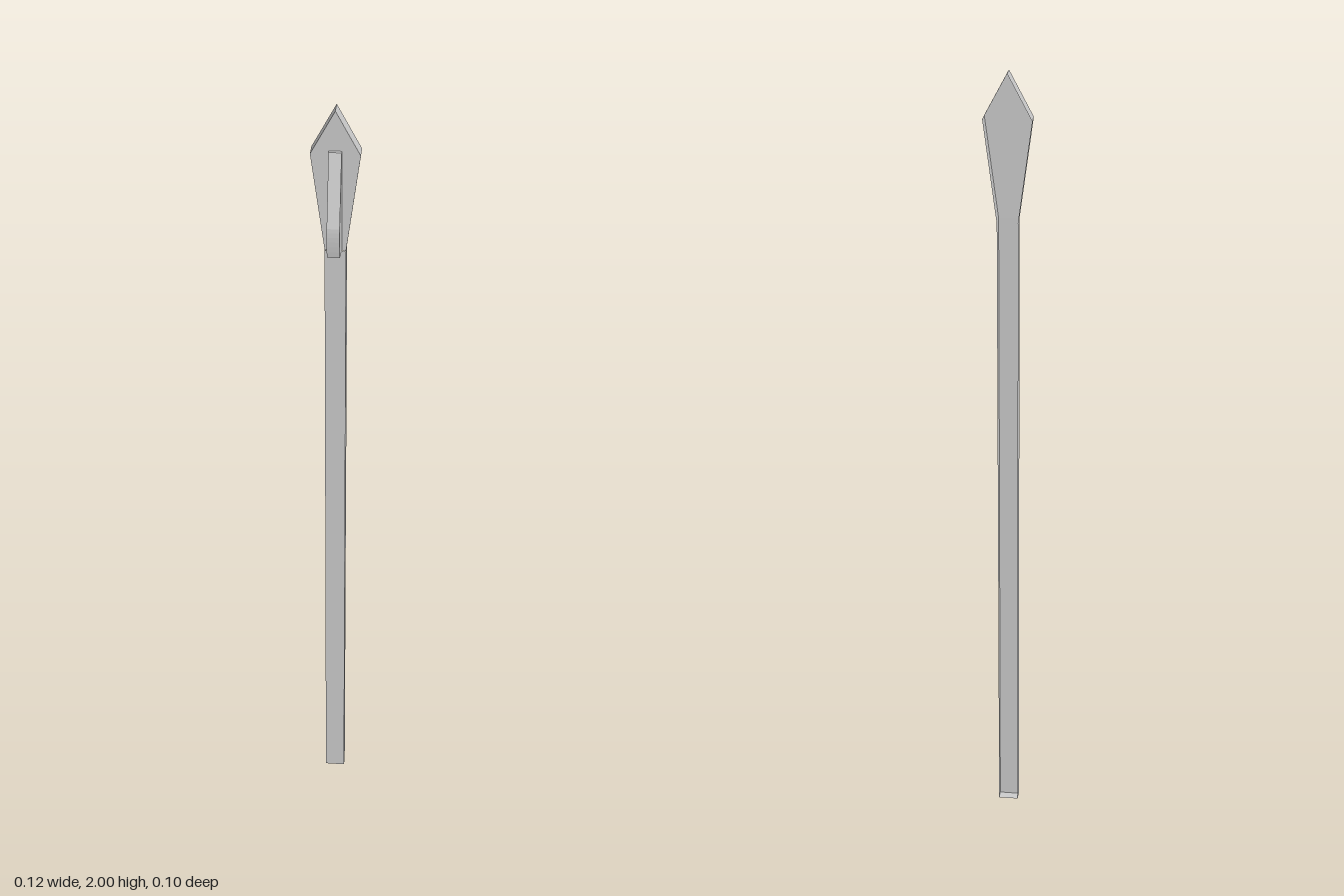
import * as THREE from 'three';

const material = new THREE.MeshStandardMaterial({
  color: 0xcccccc, flatShading: true, side: THREE.DoubleSide,
});

// Open-backed shell: a convex front face with walls folded back.
// Corners run counter-clockwise as [x, y, zFront, zBack]; openEdges get no wall.
function shell(name, corners, openEdges = []) {
  const pos = [];
  const front = corners.map(([x, y, z]) => [x, y, z]);
  const back = corners.map(([x, y, , z]) => [x, y, z]);
  const tri = (a, b, c) => pos.push(...a, ...b, ...c);
  for (let i = 1; i < corners.length - 1; i++) tri(front[0], front[i], front[i + 1]);
  for (let i = 0; i < corners.length; i++) {
    if (openEdges.includes(i)) continue;
    const j = (i + 1) % corners.length;
    tri(front[i], back[i], back[j]);
    tri(front[i], back[j], front[j]);
  }
  const geometry = new THREE.BufferGeometry();
  geometry.setAttribute('position', new THREE.Float32BufferAttribute(pos, 3));
  geometry.computeVertexNormals();
  const mesh = new THREE.Mesh(geometry, material);
  mesh.name = name;
  return mesh;
}

export function createModel() {
  const group = new THREE.Group();
  group.name = 'pointedStrip';

  // Long channel, growing slightly deeper and leaning back towards the top
  const w = 0.025, neck = 1.64;
  group.add(shell('shaft', [
    [-w, 0, -0.002, -0.027], [w, 0, -0.002, -0.027],
    [w, neck, -0.01, -0.046], [-w, neck, -0.01, -0.046],
  ], [2]));

  // Kite-shaped hollow head, open towards the shaft
  const zf = -0.012, zb = -0.048;
  group.add(shell('head', [
    [-w, neck, zf, zb], [w, neck, zf, zb], [0.058, 1.89, zf, zb],
    [0, 2, zf, zb], [-0.058, 1.89, zf, zb],
  ], [0]));

  // Raised clip: side profile drawn as (z, y), extruded across x
  const clipWidth = 0.03;
  const profile = new THREE.Shape();
  profile.moveTo(zf, 1.64);
  profile.lineTo(0.042, 1.652);
  profile.quadraticCurveTo(0.05, 1.7, 0.046, 1.73);
  profile.lineTo(-0.004, 1.9);
  profile.lineTo(zf, 1.9);
  const clipGeometry = new THREE.ExtrudeGeometry(profile, {
    depth: clipWidth, bevelEnabled: false, curveSegments: 6,
  });
  clipGeometry.translate(0, 0, -clipWidth / 2);
  clipGeometry.rotateY(-Math.PI / 2);
  const clip = new THREE.Mesh(clipGeometry, material);
  clip.name = 'clip';
  group.add(clip);

  return group;
}
